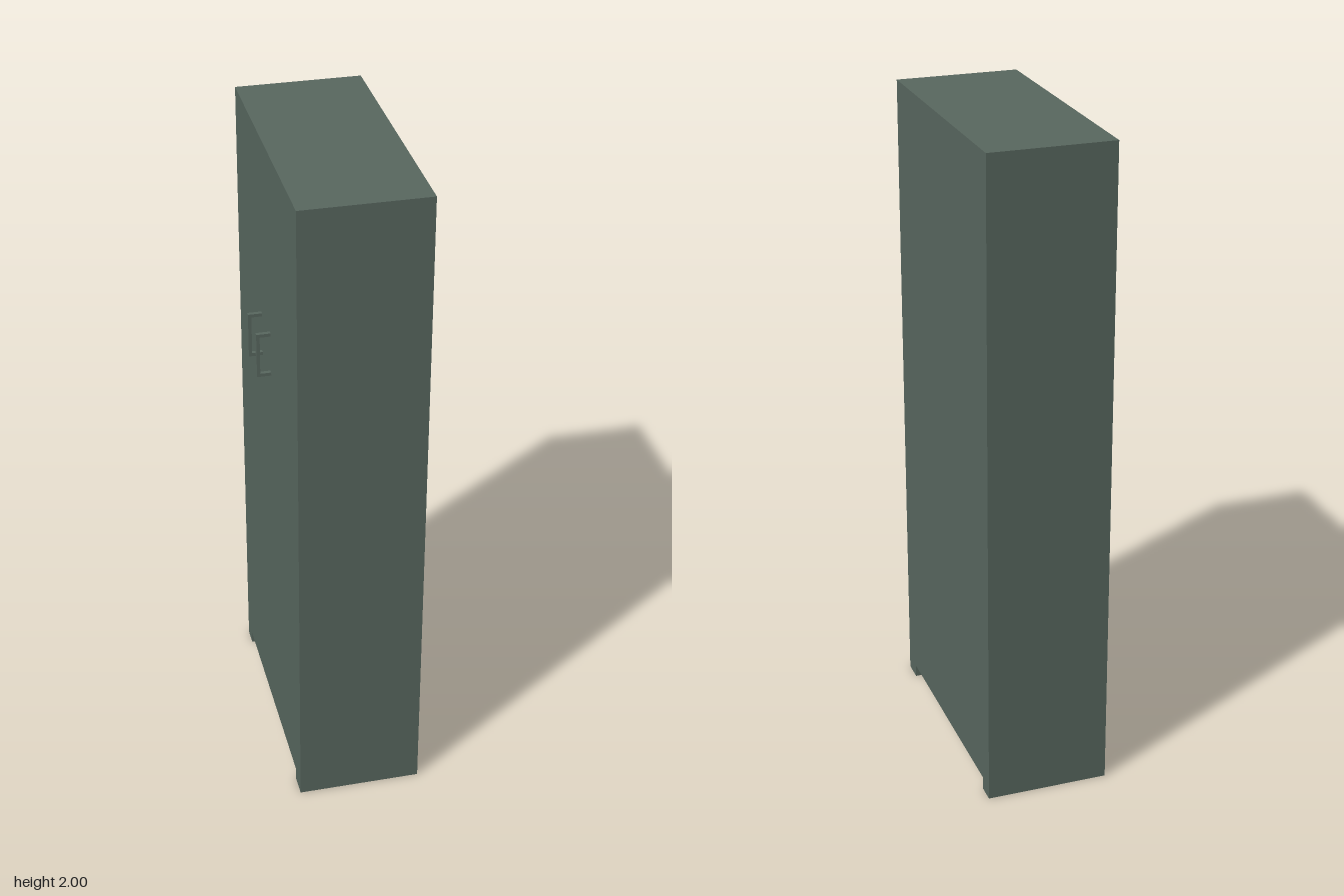
import * as THREE from 'three';

export function createModel() {
  const group = new THREE.Group();
  group.name = 'cabinet';
  const paint = new THREE.MeshStandardMaterial({ color: 0x58675f });
  paint.name = 'grey green paint';

  // Box given by its minimum and maximum corners
  const box = (name, [x0, y0, z0], [x1, y1, z1], parent = group) => {
    const mesh = new THREE.Mesh(new THREE.BoxGeometry(x1 - x0, y1 - y0, z1 - z0), paint);
    mesh.position.set((x0 + x1) / 2, (y0 + y1) / 2, (z0 + z1) / 2);
    mesh.name = name;
    parent.add(mesh);
  };

  // Cabinet body with two base rails, extruded along x from its side outline
  const outline = new THREE.Shape([
    [-0.41, 0], [-0.343, 0], [-0.343, 0.04], [0.353, 0.04],
    [0.353, 0], [0.41, 0], [0.41, 2], [-0.41, 2],
  ].map(([z, y]) => new THREE.Vector2(z, y)));
  const bodyGeometry = new THREE.ExtrudeGeometry(outline, { depth: 0.374, bevelEnabled: false });
  bodyGeometry.rotateY(Math.PI / 2).translate(-0.167, 0, 0);
  const body = new THREE.Mesh(bodyGeometry, paint);
  body.name = 'body';
  group.add(body);

  // Pair of square-section pull handles on the door side
  for (const z of [-0.072, 0.048]) {
    const handle = new THREE.Group();
    handle.name = 'handle';
    const a = z - 0.006, b = z + 0.006;
    box('grip', [-0.209, 1.3, a], [-0.199, 1.44, b], handle);
    box('lowerPost', [-0.199, 1.3, a], [-0.166, 1.31, b], handle);
    box('upperPost', [-0.199, 1.43, a], [-0.166, 1.44, b], handle);
    group.add(handle);
  }
  return group;
}
